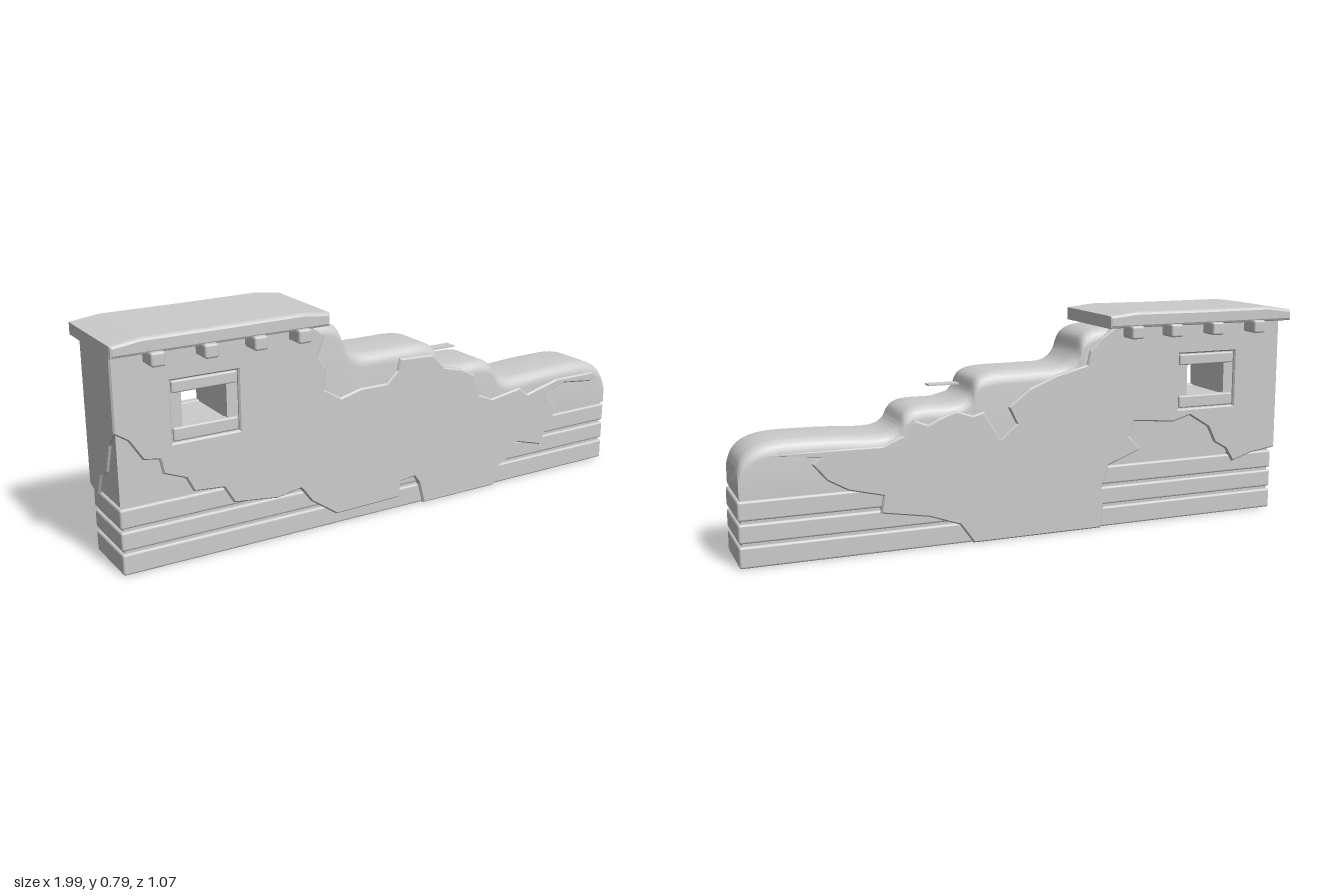
import * as THREE from 'three';
import { toCreasedNormals } from 'three/addons/utils/BufferGeometryUtils.js';
import { RoundedBoxGeometry } from 'three/addons/geometries/RoundedBoxGeometry.js';

const stone = new THREE.MeshStandardMaterial({ color: 0xcccccc });
stone.name = 'paleStone';

const toShape = (pts) => new THREE.Shape(pts.map(([x, y]) => new THREE.Vector2(x, y)));

function rectHole(x0, x1, y0, y1) {
  return toShape([[x0, y0], [x0, y1], [x1, y1], [x1, y0]]);
}

// Rounded-top cross-section swept along the wall under a stepped outline
function steppedBody(outline, half, base, radius) {
  const pos = [], idx = [], arc = 5, n = 2 * (arc + 2);
  for (const { x, y } of outline) {
    const r = Math.min(radius, (y - base) * 0.8);
    const side = [[half, base]];
    for (let k = 0; k <= arc; k++) {
      const a = (k / arc) * Math.PI / 2;
      side.push([half - r + r * Math.cos(a), y - r + r * Math.sin(a)]);
    }
    const ring = [...side, ...side.map(([z, h]) => [-z, h]).reverse()];
    for (const [z, h] of ring) pos.push(x, h, z);
  }
  const last = (outline.length - 1) * n;
  for (let i = 0; i < last; i += n) {
    for (let j = 0; j < n; j++) {
      const a = i + j, b = i + (j + 1) % n;
      idx.push(a, a + n, b + n, a, b + n, b);
    }
  }
  for (let j = 1; j < n - 1; j++) {
    idx.push(0, j, j + 1, last, last + j + 1, last + j);
  }
  const g = new THREE.BufferGeometry();
  g.setAttribute('position', new THREE.Float32BufferAttribute(pos, 3));
  g.setIndex(idx);
  return toCreasedNormals(g, 0.6);
}

export function createModel() {
  const model = new THREE.Group();
  model.name = 'ruinedWall';
  const wall = new THREE.Group();
  wall.name = 'wall';
  wall.rotation.y = -0.398;
  wall.position.set(-0.007, 0, 0.018);
  model.add(wall);

  const add = (name, geometry, x = 0, y = 0, z = 0) => {
    const mesh = new THREE.Mesh(geometry, stone);
    mesh.name = name;
    mesh.position.set(x, y, z);
    wall.add(mesh);
    return mesh;
  };

  // Brick courses with recessed joints
  add('jointCore', new THREE.BoxGeometry(2.0, 0.238, 0.218), 0.032, 0.12, 0);
  for (const [y0, y1] of [[0, 0.073], [0.083, 0.148], [0.158, 0.225]]) {
    add('brickCourse', new RoundedBoxGeometry(2.02, y1 - y0, 0.237, 2, 0.008), 0.032, (y0 + y1) / 2, 0);
  }

  // Tower block with the window opening cut through
  const tower = toShape([[-0.976, 0.235], [-0.3, 0.235], [-0.3, 0.735], [-0.976, 0.735]]);
  tower.holes.push(rectHole(-0.755, -0.6, 0.46, 0.58));
  add('tower', new THREE.ExtrudeGeometry(tower, { depth: 0.236, bevelEnabled: false }), 0, 0, -0.118);

  // Worn steps descending to the low end
  const outline = new THREE.CatmullRomCurve3([
    [-0.32, 0.73], [-0.22, 0.722], [-0.18, 0.70], [-0.155, 0.64], [-0.11, 0.602], [0, 0.595],
    [0.18, 0.59], [0.22, 0.572], [0.245, 0.52], [0.29, 0.497], [0.44, 0.49], [0.475, 0.472],
    [0.5, 0.43], [0.54, 0.408], [0.75, 0.413], [0.93, 0.41], [0.99, 0.39], [1.022, 0.36], [1.036, 0.325],
  ].map(([x, y]) => new THREE.Vector3(x, y, 0)), false, 'centripetal').getPoints(110);
  add('steps', steppedBody(outline, 0.121, 0.235, 0.045));

  // Plaster sheets with ragged edges, one on each face
  const frontOutline = [
    [-0.985, 0.73], [-0.985, 0.48], [-0.94, 0.45], [-0.895, 0.38], [-0.84, 0.37], [-0.83, 0.32],
    [-0.755, 0.29], [-0.73, 0.24], [-0.625, 0.23], [-0.59, 0.17], [-0.43, 0.15], [-0.34, 0.165],
    [-0.3, 0.11], [-0.2, 0.04], [0.06, 0.045], [0.07, 0.105], [0.125, 0.11], [0.147, 0.08],
    [0.168, 0], [0.493, 0], [0.493, 0.06], [0.548, 0.09], [0.6, 0.15], [0.71, 0.12],
    [0.743, 0.18], [0.786, 0.25], [0.73, 0.32], [0.82, 0.35], [0.95, 0.335], [1.0, 0.345],
    [0.96, 0.37], [0.78, 0.37], [0.64, 0.335], [0.6, 0.365], [0.47, 0.345], [0.41, 0.37],
    [0.385, 0.45], [0.33, 0.48], [0.25, 0.5], [0.2, 0.555], [0.06, 0.56], [0.05, 0.52],
    [0.005, 0.48], [-0.1, 0.48], [-0.18, 0.46], [-0.245, 0.5], [-0.235, 0.57], [-0.265, 0.62],
    [-0.24, 0.69], [-0.3, 0.73],
  ];
  const backOutline = [
    [-0.985, 0.73], [-0.985, 0.24], [-0.88, 0.225], [-0.8, 0.2], [-0.77, 0.25], [-0.72, 0.28],
    [-0.69, 0.34], [-0.61, 0.39], [-0.54, 0.37], [-0.38, 0.385], [-0.36, 0.33], [-0.41, 0.28],
    [-0.28, 0.23], [-0.25, 0.14], [-0.26, 0.08], [-0.25, 0], [0.24, 0], [0.29, 0.07],
    [0.4, 0.11], [0.57, 0.14], [0.56, 0.2], [0.68, 0.23], [0.75, 0.27], [0.8, 0.33],
    [0.77, 0.35], [0.95, 0.37], [0.56, 0.37], [0.49, 0.4], [0.45, 0.45], [0.4, 0.43],
    [0.36, 0.45], [0.3, 0.47], [0.24, 0.45], [0.2, 0.46], [0.14, 0.36], [0.08, 0.41],
    [0.11, 0.47], [0.03, 0.53], [-0.07, 0.57], [-0.19, 0.6], [-0.2, 0.65], [-0.24, 0.69], [-0.3, 0.73],
  ];
  const sheet = { depth: 0.03, bevelThickness: 0.006, bevelSize: 0.005, bevelOffset: -0.005, bevelSegments: 1 };
  for (const [name, pts, z] of [['frontPlaster', frontOutline, 0.094], ['backPlaster', backOutline, -0.124]]) {
    const shape = toShape(pts);
    shape.holes.push(rectHole(-0.794, -0.561, 0.415, 0.62));
    add(name, new THREE.ExtrudeGeometry(shape, sheet), 0, 0, z);
  }

  // Plaster on the tall end
  const endShape = toShape([[-0.124, 0.73], [-0.124, 0.24], [-0.06, 0.22], [-0.02, 0.3],
    [0.04, 0.33], [0.08, 0.43], [0.124, 0.48], [0.124, 0.73]]);
  const end = add('endPlaster', new THREE.ExtrudeGeometry(endShape, { depth: 0.015, bevelEnabled: false }), -0.97);
  end.rotation.y = -Math.PI / 2;

  // Window lintel and sill on both faces
  for (const z of [-0.112, 0.112]) {
    add('lintel', new RoundedBoxGeometry(0.225, 0.04, 0.03, 2, 0.006), -0.677, 0.597, z);
    add('sill', new RoundedBoxGeometry(0.225, 0.045, 0.03, 2, 0.006), -0.677, 0.441, z);
  }

  // Roof slab with a slightly bowed top
  const roof = toShape([[-1.0, 0.73], [-0.25, 0.73], [-0.25, 0.775], [-0.35, 0.786],
    [-0.6, 0.784], [-0.9, 0.784], [-1.0, 0.77]]);
  add('roofSlab', new THREE.ExtrudeGeometry(roof, {
    depth: 0.343, bevelThickness: 0.012, bevelSize: 0.01, bevelOffset: -0.01, bevelSegments: 2,
  }), 0, 0, -0.1715);

  // Beams poking out under the roof
  for (const x of [-0.855, -0.68, -0.51, -0.353]) {
    add('roofBeam', new RoundedBoxGeometry(0.048, 0.046, 0.4, 2, 0.008), x, 0.714, 0);
  }

  // Small thin ledge on the middle step
  add('ledge', new THREE.BoxGeometry(0.11, 0.005, 0.045), 0.302, 0.543, 0.017);

  return model;
}
